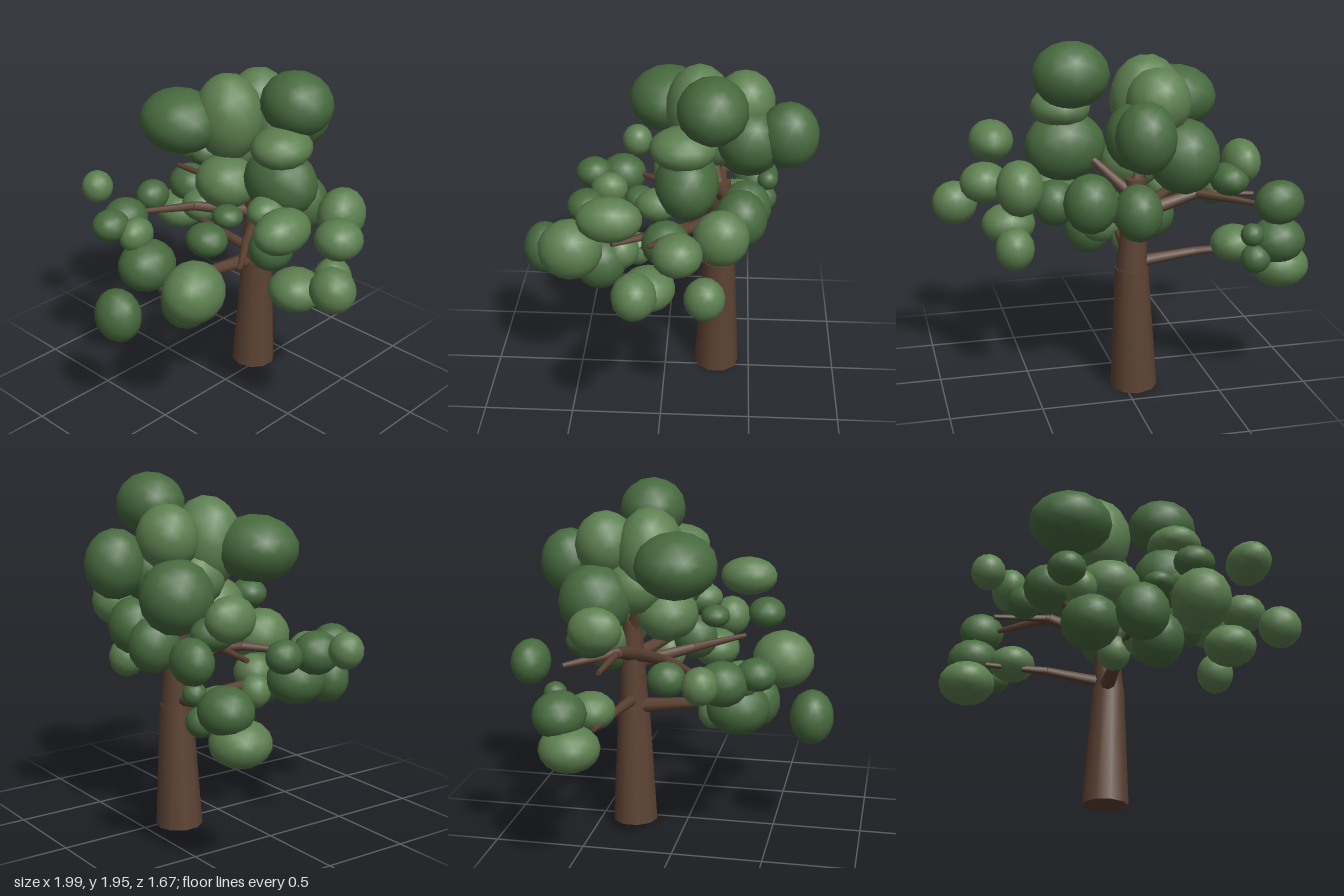
import * as THREE from 'three';

const bark = new THREE.MeshStandardMaterial({ color: 0x5c4233 });
const leafDark = new THREE.MeshStandardMaterial({ color: 0x476a3e });
const leafLight = new THREE.MeshStandardMaterial({ color: 0x5c7f4f });

// Tapered limb through a list of points, radius running from r0 to r1
function limb(name, points, r0, r1, sides) {
  const group = new THREE.Group();
  group.name = name;
  const pts = points.map(p => new THREE.Vector3(...p));
  const n = pts.length - 1;
  for (let i = 0; i < n; i++) {
    const dir = pts[i + 1].clone().sub(pts[i]);
    const bottom = r0 + (r1 - r0) * i / n;
    const top = r0 + (r1 - r0) * (i + 1) / n;
    const mesh = new THREE.Mesh(new THREE.CylinderGeometry(top, bottom, dir.length(), sides), bark);
    mesh.name = name + 'Segment';
    mesh.position.copy(pts[i]).addScaledVector(dir, 0.5);
    mesh.quaternion.setFromUnitVectors(new THREE.Vector3(0, 1, 0), dir.normalize());
    group.add(mesh);
  }
  return group;
}

// Leaf clumps by region: [centre, radii, light?]
const foliage = {
  crown: [
    [[0.28, 1.77, -0.26], [0.205, 0.175, 0.185], 0],
    [[-0.35, 1.575, 0.0], [0.24, 0.178, 0.22], 0],
    [[-0.15, 1.6, -0.18], [0.2, 0.248, 0.185], 1],
    [[0.31, 1.57, -0.11], [0.16, 0.11, 0.175], 1],
    [[0.29, 1.36, -0.13], [0.22, 0.19, 0.17], 0],
    [[-0.09, 1.25, -0.1], [0.18, 0.15, 0.17], 1],
    [[-0.28, 1.35, -0.46], [0.19, 0.2, 0.2], 0],
    [[-0.02, 1.51, -0.67], [0.155, 0.185, 0.165], 0],
    [[-0.15, 1.64, -0.43], [0.17, 0.18, 0.165], 1],
    [[-0.03, 1.47, -0.46], [0.17, 0.18, 0.18], 0],
    [[-0.17, 1.42, -0.27], [0.16, 0.16, 0.16], 1],
    [[0.21, 1.11, -0.42], [0.145, 0.16, 0.145], 0],
    [[-0.04, 1.05, -0.45], [0.13, 0.155, 0.145], 0],
    [[0.33, 1.25, 0.02], [0.1, 0.085, 0.12], 1],
  ],
  leftFoliage: [
    [[0.57, 1.19, -0.32], [0.125, 0.15, 0.145], 1],
    [[0.64, 1.32, 0.25], [0.125, 0.115, 0.17], 1],
    [[0.73, 1.175, -0.1], [0.13, 0.11, 0.13], 1],
    [[0.87, 1.01, 0.11], [0.125, 0.122, 0.115], 1],
    [[0.58, 0.88, 0.06], [0.15, 0.115, 0.145], 1],
    [[0.59, 0.83, -0.24], [0.105, 0.118, 0.11], 1],
    [[0.33, 1.01, -0.02], [0.12, 0.13, 0.13], 0],
  ],
  frontFoliage: [
    [[0.26, 0.92, 0.51], [0.16, 0.168, 0.178], 1],
    [[0.26, 1.195, 0.41], [0.115, 0.088, 0.105], 0],
    [[-0.12, 0.71, 0.715], [0.138, 0.152, 0.12], 0],
    [[0.06, 0.725, 0.37], [0.138, 0.155, 0.148], 0],
    [[0.01, 0.78, 0.26], [0.12, 0.11, 0.11], 1],
    [[-0.3, 0.8, 0.33], [0.158, 0.148, 0.172], 0],
    [[-0.13, 0.71, 0.17], [0.088, 0.098, 0.088], 1],
    [[0.14, 1.19, 0.13], [0.088, 0.062, 0.082], 0],
  ],
  rightFoliage: [
    [[-0.84, 0.705, -0.46], [0.158, 0.122, 0.16], 1],
    [[-0.8, 0.87, -0.52], [0.15, 0.125, 0.14], 0],
    [[-0.59, 0.83, -0.41], [0.128, 0.102, 0.13], 1],
    [[-0.66, 0.79, -0.57], [0.08, 0.08, 0.08], 0],
    [[-0.63, 0.93, -0.59], [0.062, 0.062, 0.062], 0],
    [[-0.74, 1.13, -0.68], [0.132, 0.118, 0.1], 0],
    [[-0.63, 1.28, -0.37], [0.102, 0.122, 0.142], 1],
    [[-0.55, 1.2, -0.42], [0.105, 0.09, 0.125], 0],
    [[-0.84, 1.08, 0.22], [0.092, 0.098, 0.092], 1],
    [[-0.53, 1.0, 0.28], [0.125, 0.12, 0.135], 0],
    [[-0.46, 1.04, 0.45], [0.102, 0.088, 0.108], 0],
    [[-0.36, 0.98, 0.35], [0.085, 0.1, 0.108], 1],
    [[-0.6, 1.03, 0.0], [0.092, 0.092, 0.102], 0],
  ],
};

// Boughs leaving the trunk: name, path, radius at the trunk
const boughs = [
  ['backRightBough', [[-0.06, 1.0, -0.31], [-0.4, 1.1, -0.31], [-0.66, 1.09, -0.54]], 0.045],
  ['backRightTwig', [[-0.4, 1.1, -0.31], [-0.72, 1.08, -0.33]], 0.022],
  ['leftBough', [[-0.05, 0.98, -0.3], [0.25, 1.05, -0.12], [0.54, 1.11, 0.06]], 0.045],
  ['frontLeftBough', [[-0.05, 0.94, -0.3], [0.16, 0.99, 0.0], [0.37, 1.02, 0.27]], 0.04],
  ['frontRightBough', [[-0.06, 1.0, -0.3], [-0.3, 1.04, -0.05], [-0.53, 1.01, 0.2]], 0.04],
  ['lowerRightBough', [[-0.06, 0.73, -0.31], [-0.4, 0.77, -0.32], [-0.75, 0.785, -0.35]], 0.035],
  ['lowerFrontBough', [[-0.06, 0.69, -0.3], [-0.08, 0.745, 0.13], [-0.09, 0.76, 0.43]], 0.045],
  ['upperLeftBough', [[-0.05, 1.1, -0.33], [0.26, 1.4, -0.2]], 0.035],
  ['upperRightBough', [[-0.05, 1.1, -0.31], [-0.18, 1.5, -0.22]], 0.045],
];

export function createModel() {
  const tree = new THREE.Group();
  tree.name = 'tree';

  // Trunk: wide butt and a slimmer upper length
  tree.add(limb('lowerTrunk', [[-0.055, 0, -0.305], [-0.04, 0.7, -0.31]], 0.13, 0.091, 10));
  tree.add(limb('upperTrunk', [[-0.04, 0.69, -0.31], [-0.06, 1.2, -0.31]], 0.086, 0.055, 10));
  for (const [name, points, r] of boughs) tree.add(limb(name, points, r, 0.014, 7));

  // Rounded low-poly leaf clumps
  const ball = new THREE.IcosahedronGeometry(1.015, 2);
  for (const [name, clumps] of Object.entries(foliage)) {
    const group = new THREE.Group();
    group.name = name;
    for (const [centre, radii, light] of clumps) {
      const clump = new THREE.Mesh(ball, light ? leafLight : leafDark);
      clump.name = 'leafClump';
      clump.position.set(...centre);
      clump.scale.set(...radii);
      group.add(clump);
    }
    tree.add(group);
  }
  return tree;
}
